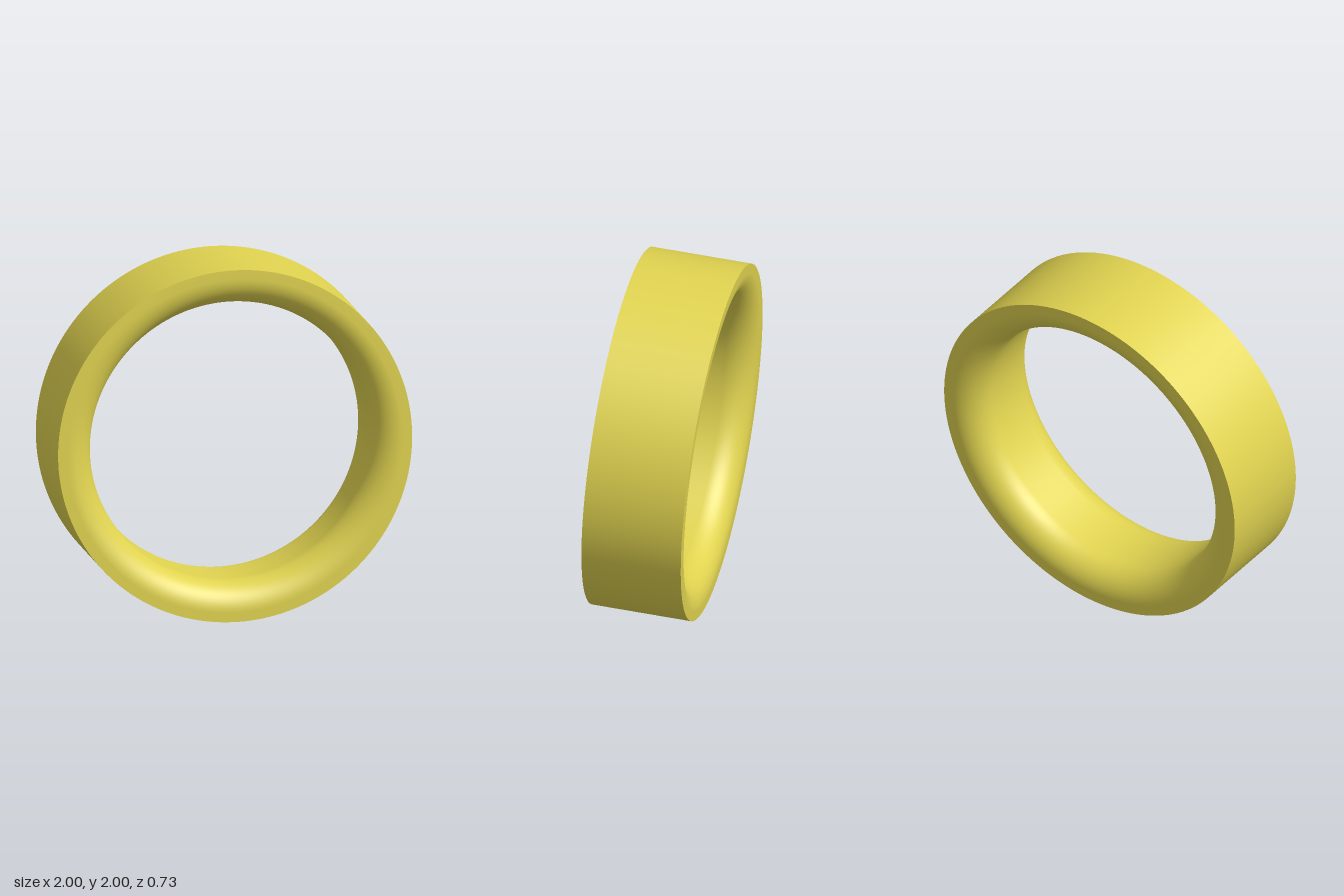
import * as THREE from 'three';

const OUTER = 0.982, THROAT = 0.775, HALF = 0.276, FILLET = 0.155, SEGMENTS = 160;

export function createModel() {
  const model = new THREE.Group();
  model.name = 'ring';
  const material = new THREE.MeshStandardMaterial({ color: 0xe0d350 });

  const addLathe = (name, profile) => {
    const mesh = new THREE.Mesh(new THREE.LatheGeometry(profile, SEGMENTS), material);
    mesh.name = name;
    band.add(mesh);
  };

  // Band, built around y and then leaned so its axis points mostly to the front
  const band = new THREE.Group();
  band.name = 'band';

  // Straight outer wall with sharp rims
  addLathe('outerWall', [new THREE.Vector2(OUTER, -HALF), new THREE.Vector2(OUTER, HALF)]);

  // Inner surface: narrow flat face, rounded shoulder, throat, mirrored shoulder and face
  const inner = [new THREE.Vector2(OUTER, HALF)];
  const steps = 20;
  for (const side of [1, -1]) {
    for (let i = 0; i <= steps; i++) {
      const t = (side > 0 ? i : steps - i) / steps * Math.PI / 2;
      inner.push(new THREE.Vector2(
        THROAT + FILLET * (1 - Math.sin(t)),
        side * (HALF - FILLET * (1 - Math.cos(t)))
      ));
    }
  }
  inner.push(new THREE.Vector2(OUTER, -HALF));
  addLathe('innerSurface', inner);

  const axis = new THREE.Vector3(-0.067, 0.067, 1).normalize();
  band.quaternion.setFromUnitVectors(new THREE.Vector3(0, 1, 0), axis);
  band.position.y = 1;
  model.add(band);
  return model;
}
